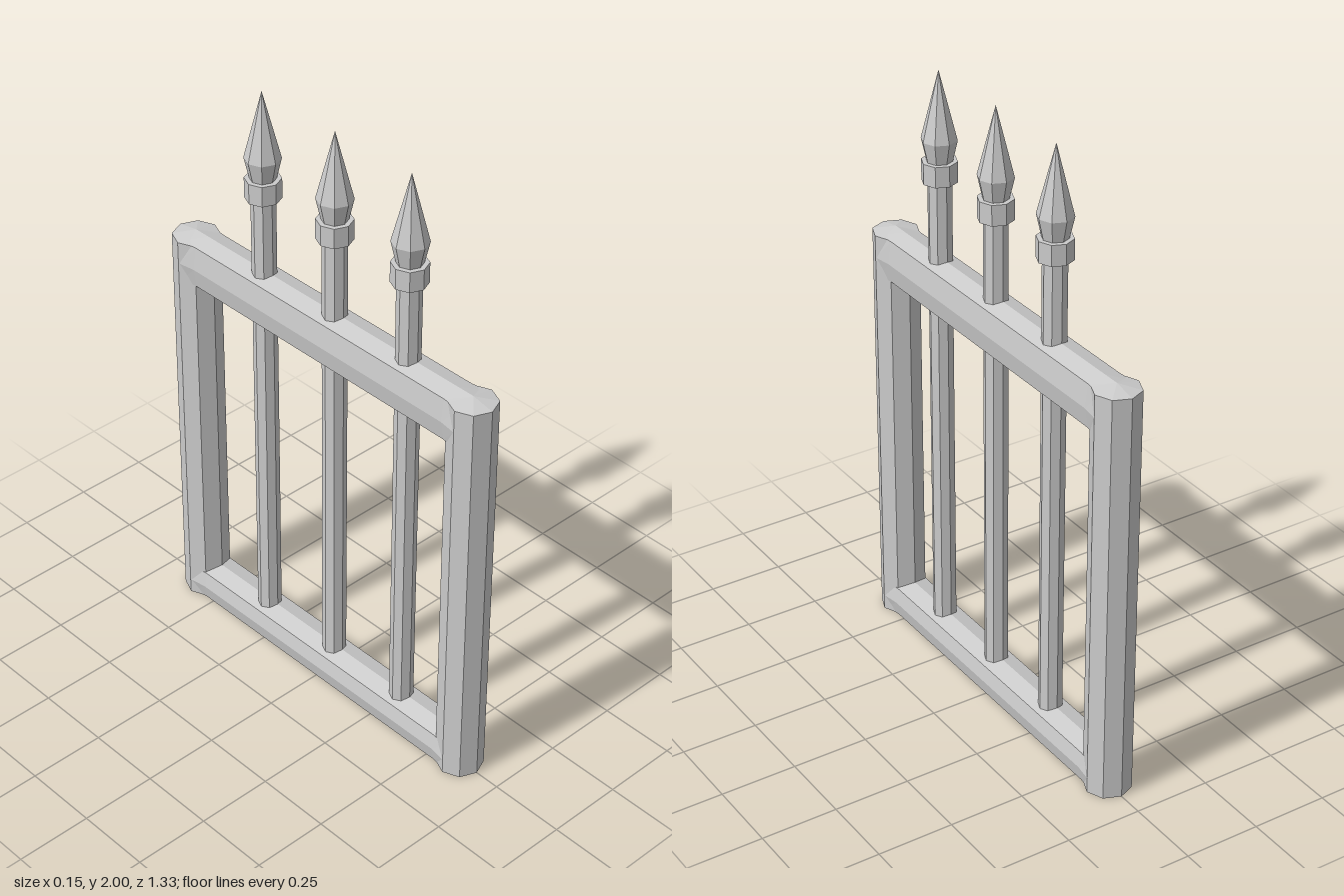
import * as THREE from 'three';

const POST_Z = 0.59, POST_R = 0.075, SIDES = 8;

export function createModel() {
  const group = new THREE.Group();
  const material = new THREE.MeshStandardMaterial({ color: 0xcccccc, flatShading: true });

  const add = (name, geometry, z = 0) => {
    const mesh = new THREE.Mesh(geometry, material);
    mesh.name = name;
    mesh.position.z = z;
    group.add(mesh);
  };

  // Octagonal turned part from [radius, height] pairs
  const turned = (profile) =>
    new THREE.LatheGeometry(profile.map(([r, y]) => new THREE.Vector2(r, y)), SIDES);

  // Rail along z with a faceted section, flaring to meet the posts
  const rail = (section) => {
    const shape = new THREE.Shape(section.map(([x, y]) => new THREE.Vector2(x, y)));
    const geometry = new THREE.ExtrudeGeometry(shape, { depth: 3, steps: 3, bevelEnabled: false });
    const stations = [-POST_Z, -0.53, 0.53, POST_Z];
    const p = geometry.attributes.position;
    for (let i = 0; i < p.count; i++) {
      const k = Math.round(p.getZ(i));
      if (k === 0 || k === 3) p.setX(i, p.getX(i) * 1.14);
      p.setZ(i, stations[k]);
    }
    geometry.computeVertexNormals();
    return geometry;
  };

  // End posts with shallow pointed caps
  const post = turned([[0, 0], [POST_R, 0], [POST_R, 1.375], [0, 1.39]]);
  add('frontPost', post, POST_Z);
  add('backPost', post, -POST_Z);

  // Top rail, and bottom rail with a shallow groove underneath
  add('topRail', rail([
    [0, 1.215], [0.055, 1.235], [0.065, 1.3], [0.055, 1.375],
    [0, 1.39], [-0.055, 1.375], [-0.065, 1.3], [-0.055, 1.235],
  ]));
  add('bottomRail', rail([
    [0, 0.015], [0.055, 0], [0.065, 0.05], [0.055, 0.1],
    [0, 0.115], [-0.055, 0.1], [-0.065, 0.05], [-0.055, 0],
  ]));

  // Upright bars, each with a collar and spear point
  const bar = turned([[0, 0.005], [0.038, 0.005], [0.038, 1.72], [0, 1.72]]);
  const collar = turned([[0.036, 1.645], [0.056, 1.645], [0.056, 1.712], [0.036, 1.712]]);
  const spear = turned([[0, 1.7], [0.038, 1.7], [0.056, 1.78], [0, 2]]);
  for (const z of [0.33, 0.025, -0.28]) {
    add('bar', bar, z);
    add('collar', collar, z);
    add('spearPoint', spear, z);
  }

  return group;
}
